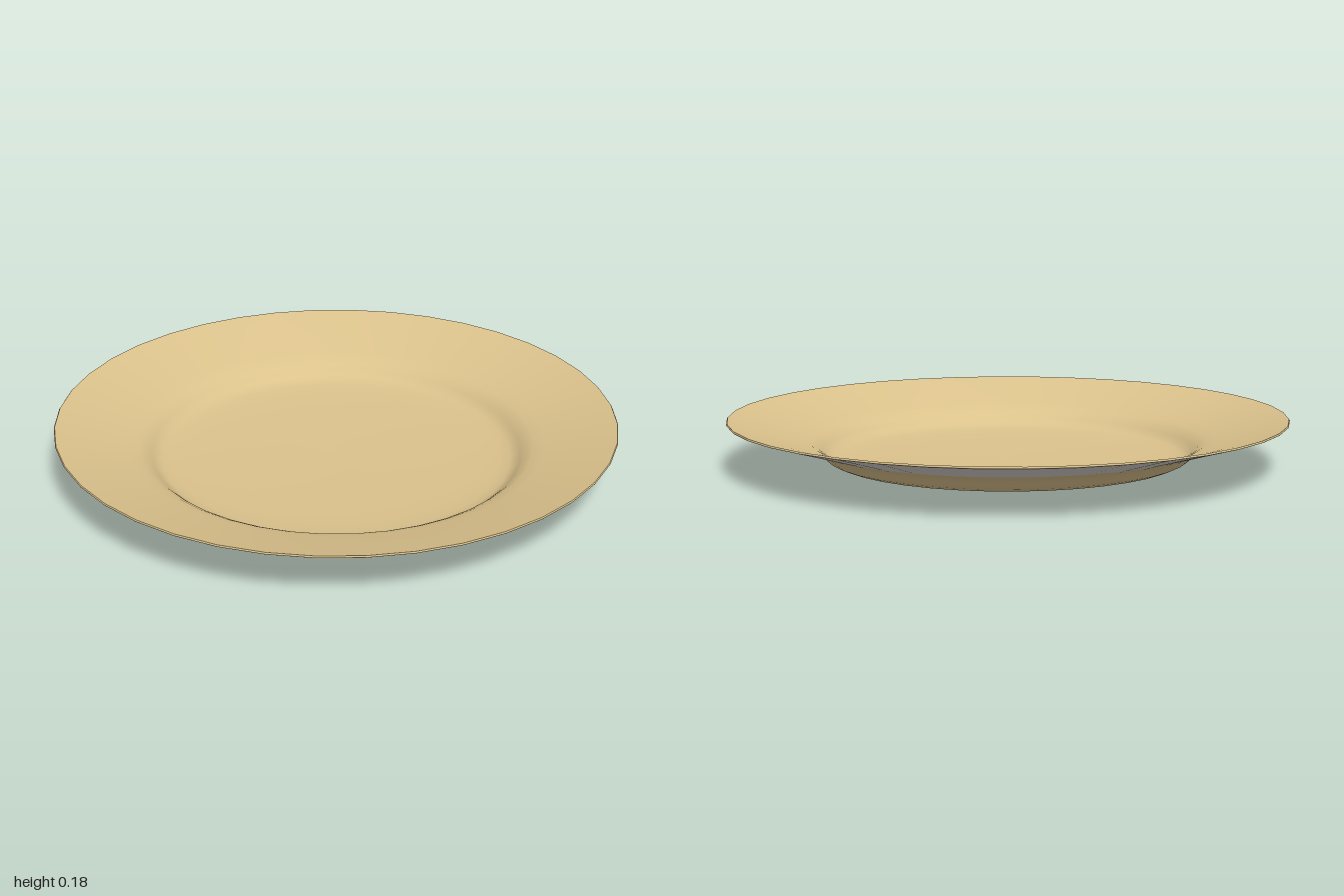
import * as THREE from 'three';

const SEGMENTS = 40;

// Revolve a list of [radius, height] points around the vertical axis
function revolve(name, points, material) {
  const profile = points.map(([r, y]) => new THREE.Vector2(r, y));
  const mesh = new THREE.Mesh(new THREE.LatheGeometry(profile, SEGMENTS), material);
  mesh.name = name;
  return mesh;
}

export function createModel() {
  const plate = new THREE.Group();
  plate.name = 'plate';

  const gold = new THREE.MeshStandardMaterial({ color: 0xdbc28c });
  gold.name = 'pale gold';
  const grey = new THREE.MeshStandardMaterial({ color: 0xd8d2cc });
  grey.name = 'warm light grey';

  // Profiles run outward along the underside and inward along the top, so faces point out
  // Rounded underside of the well
  plate.add(revolve('wellUnderside', [
    [0, 0.005], [0.2, 0.007], [0.4, 0.012], [0.52, 0.017], [0.59, 0.024],
    [0.625, 0.031], [0.65, 0.042], [0.667, 0.057], [0.685, 0.073],
    [0.705, 0.087], [0.745, 0.101],
  ], gold));

  // Sloping underside of the rim
  plate.add(revolve('rimUnderside', [[0.745, 0.101], [0.87, 0.139], [0.998, 0.177]], grey));

  // Thin outer lip
  plate.add(revolve('lip', [[0.998, 0.177], [1, 0.18], [0.997, 0.184]], gold));

  // Eating surface: rim, curved wall and flat well
  plate.add(revolve('topSurface', [
    [0.997, 0.184], [0.87, 0.148], [0.745, 0.111], [0.705, 0.098],
    [0.68, 0.084], [0.66, 0.066], [0.645, 0.051], [0.625, 0.041],
    [0.59, 0.034], [0.52, 0.028], [0.4, 0.023], [0.2, 0.018], [0, 0.016],
  ], gold));

  return plate;
}
